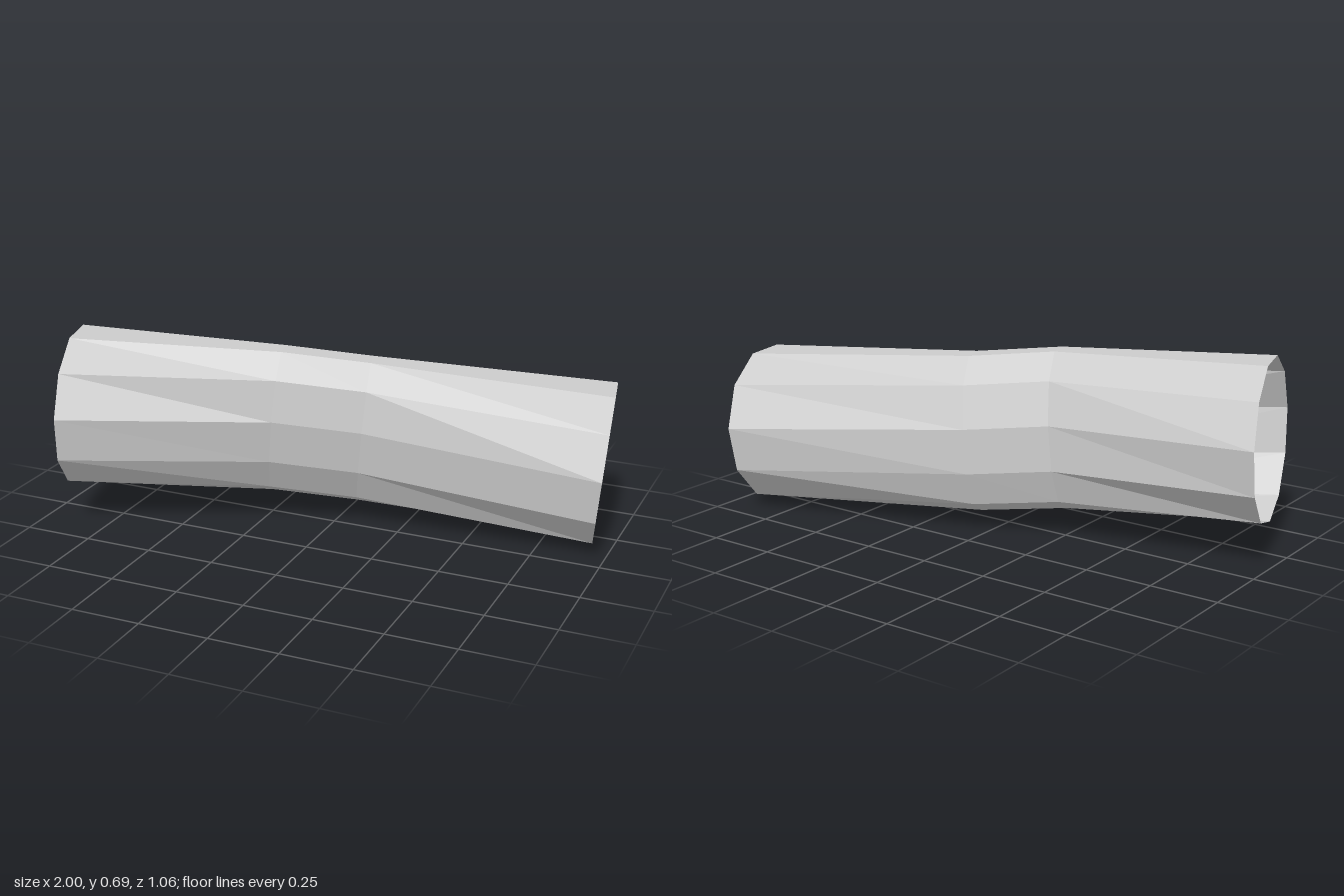
import * as THREE from 'three';

const SIDES = 11;
const RADIUS = 0.29;

// Cross-sections: centre, width factor in z, lean of z with height,
// and the slant of the ring plane (x shift per unit of z and of y).
const rings = [
  { c: [-0.923, 0.41, 0.245], width: 1, lean: 0, slantZ: 0.28, slantY: 0.03 },
  { c: [-0.205, 0.385, 0.04], width: 0.5, lean: 0.07, slantZ: 0.26, slantY: 0.1 },
  { c: [0.09, 0.35, -0.07], width: 0.5, lean: 0.07, slantZ: 0.3, slantY: 0.1 },
  { c: [0.94, 0.29, -0.245], width: 1, lean: 0, slantZ: 0.2, slantY: 0.09 },
];

// Point k of a ring, counted from its bottom corner towards +z
function ringPoint({ c, width, lean, slantZ, slantY }, k) {
  const a = (k / SIDES) * Math.PI * 2;
  const dy = -RADIUS * Math.cos(a);
  const dz = RADIUS * Math.sin(a) * width + lean * dy;
  return [c[0] + slantZ * dz + slantY * dy, c[1] + dy, c[2] + dz];
}

export function createModel() {
  const positions = [];
  const indices = [];
  for (const ring of rings) {
    for (let k = 0; k < SIDES; k++) positions.push(...ringPoint(ring, k));
  }
  // Skin neighbouring rings; both ends stay open
  for (let i = 0; i < rings.length - 1; i++) {
    for (let k = 0; k < SIDES; k++) {
      const a = i * SIDES + k;
      const b = i * SIDES + ((k + 1) % SIDES);
      indices.push(a, a + SIDES, b, b, a + SIDES, b + SIDES);
    }
  }
  const indexed = new THREE.BufferGeometry();
  indexed.setAttribute('position', new THREE.Float32BufferAttribute(positions, 3));
  indexed.setIndex(indices);
  const geometry = indexed.toNonIndexed();
  geometry.computeVertexNormals();

  const tube = new THREE.Mesh(
    geometry,
    new THREE.MeshStandardMaterial({ color: 0xcccccc, flatShading: true, side: THREE.DoubleSide })
  );
  tube.name = 'pinchedTube';

  const model = new THREE.Group();
  model.name = 'openTube';
  model.add(tube);
  return model;
}
